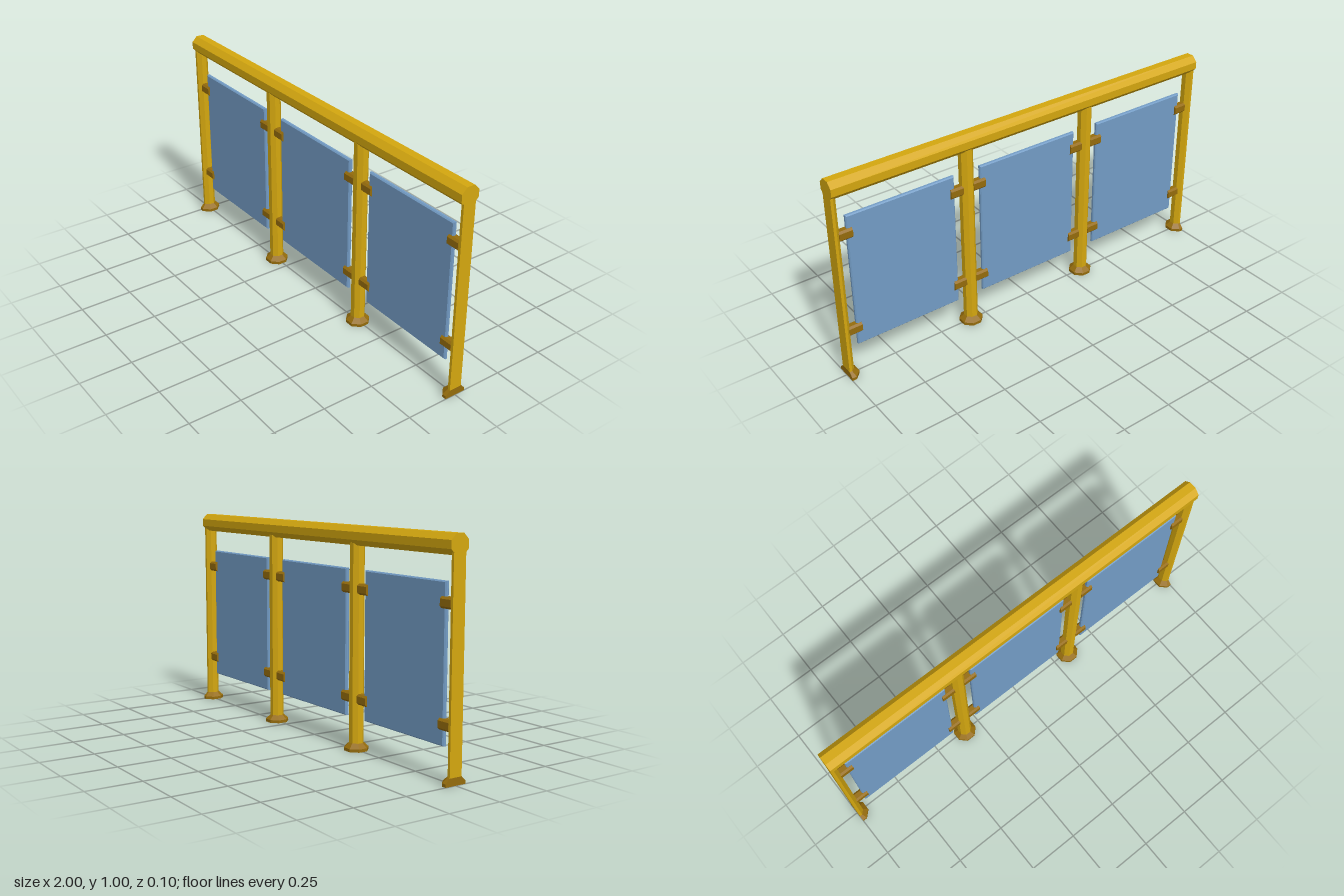
import * as THREE from 'three';

const gold = new THREE.MeshStandardMaterial({ name: 'goldPaint', color: 0xd4a70f });
const bronze = new THREE.MeshStandardMaterial({ name: 'darkBronze', color: 0x956c0c });
const glass = new THREE.MeshStandardMaterial({ name: 'blueGlass', color: 0x739cc5 });

// Octagon outline with flat sides on the axes; side = +1 or -1 keeps only that half in x
function octagon(a, side = 0) {
  const s = a * Math.tan(Math.PI / 8);
  const right = [[0, -a], [s, -a], [a, -s], [a, s], [s, a], [0, a]];
  const left = right.map(([x, z]) => [-x, -z]);
  if (side > 0) return right;
  if (side < 0) return left;
  return [...right.slice(1, 5), ...left.slice(1, 5)];
}

// Flat-faced solid through octagonal sections [y, apothem]
function loft(sections, side) {
  const rings = sections.map(([y, a]) =>
    octagon(a, side).map(([x, z]) => new THREE.Vector3(x, y, z)));
  const pts = [];
  const n = rings[0].length;
  for (let r = 0; r < rings.length - 1; r++) {
    const lo = rings[r], hi = rings[r + 1];
    for (let i = 0; i < n; i++) {
      const j = (i + 1) % n;
      pts.push(lo[i], hi[i], hi[j], lo[i], hi[j], lo[j]);
    }
  }
  const bottom = rings[0], top = rings[rings.length - 1];
  for (let i = 1; i < n - 1; i++) {
    pts.push(bottom[0], bottom[i], bottom[i + 1], top[0], top[i + 1], top[i]);
  }
  const geo = new THREE.BufferGeometry().setFromPoints(pts);
  geo.computeVertexNormals();
  return geo;
}

// Bar along x with a chamfered cross-section
function bar(length, halfZ, halfY, cut) {
  const quarter = [[halfZ, halfY - cut], [halfZ - cut, halfY]];
  const [p, q] = quarter;
  const outline = [p, q, [-q[0], q[1]], [-p[0], p[1]], [-p[0], -p[1]], [-q[0], -q[1]], [q[0], -q[1]], [p[0], -p[1]]];
  const shape = new THREE.Shape(outline.map(([x, y]) => new THREE.Vector2(x, y)));
  const geo = new THREE.ExtrudeGeometry(shape, { depth: length, bevelEnabled: false });
  return geo.translate(0, 0, -length / 2).rotateY(Math.PI / 2);
}

// Glass sheet with thin bevelled edges
function sheet(w, h, thickness, bevel) {
  const x = w / 2 - bevel, y = h / 2 - bevel;
  const shape = new THREE.Shape([[-x, -y], [x, -y], [x, y], [-x, y]].map(([a, b]) => new THREE.Vector2(a, b)));
  const depth = thickness - 2 * bevel;
  return new THREE.ExtrudeGeometry(shape, {
    depth, bevelEnabled: true, bevelSize: bevel, bevelThickness: bevel, bevelSegments: 1,
  }).translate(0, 0, -depth / 2);
}

export function createModel() {
  const model = new THREE.Group();
  model.name = 'railing';
  const add = (name, geo, mat, x, y) => {
    const mesh = new THREE.Mesh(geo, mat);
    mesh.name = name;
    mesh.position.set(x, y, 0);
    model.add(mesh);
  };

  // Handrail
  add('handrail', bar(2, 0.0445, 0.043, 0.0255), gold, 0, 0.957);

  // Posts with flared feet; the end posts are cut in half
  [-1, -1 / 3, 1 / 3, 1].forEach((x, i) => {
    const side = i === 0 ? 1 : i === 3 ? -1 : 0;
    add('post', loft([[0.034, 0.031], [0.925, 0.031]], side), gold, x, 0);
    add('postFoot', loft([[0, 0.052], [0.014, 0.052], [0.035, 0.031]], side), bronze, x, 0);
  });

  // Glass panels, each held by four clips
  const panel = sheet(0.53, 0.665, 0.02, 0.005);
  const clip = bar(0.064, 0.02, 0.024, 0.009);
  for (const x of [-2 / 3, 0, 2 / 3]) {
    add('glassPanel', panel, glass, x, 0.4775);
    for (const s of [-1, 1]) {
      for (const y of [0.236, 0.725]) add('panelClip', clip, bronze, x + s * 0.274, y);
    }
  }
  return model;
}
